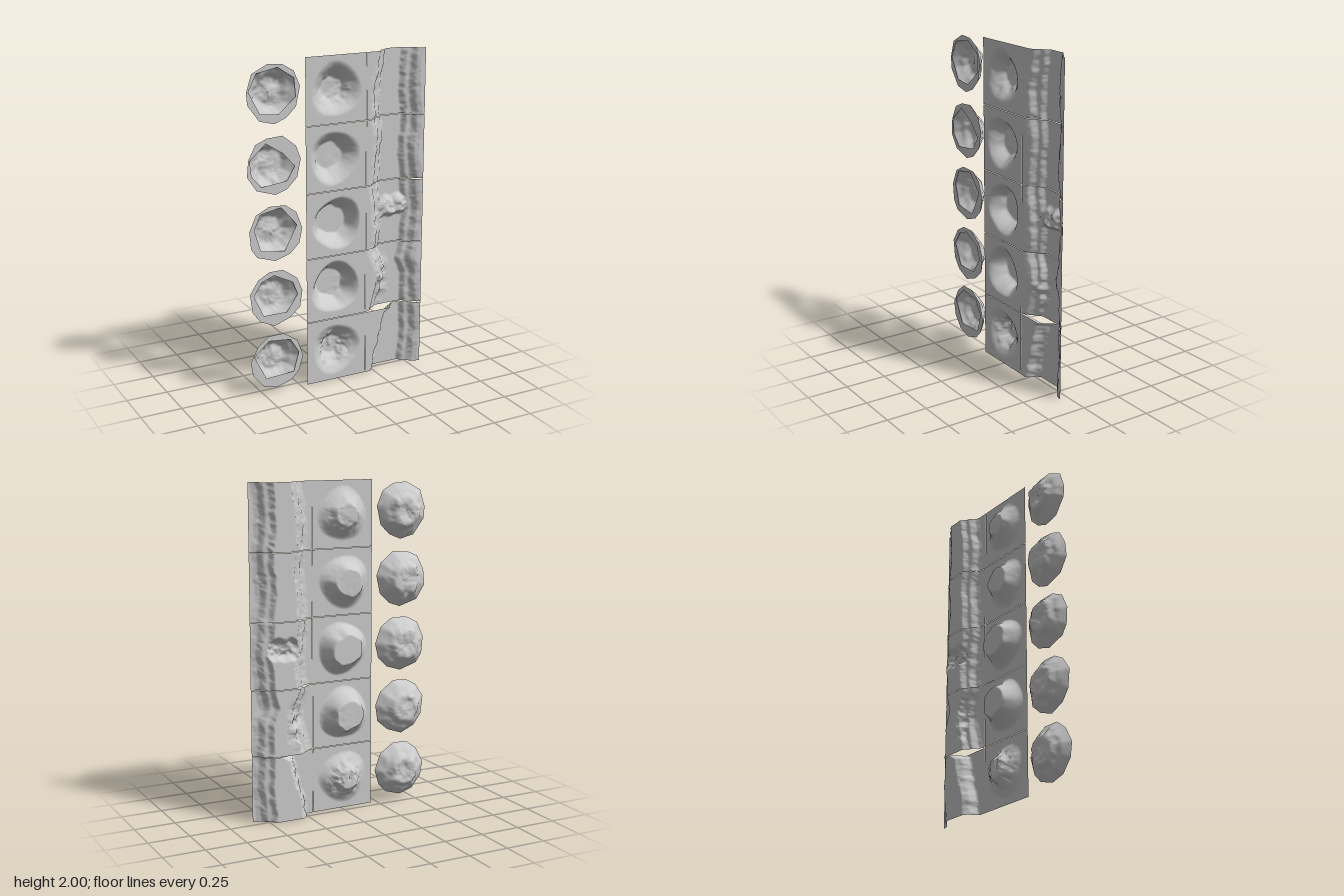
import * as THREE from 'three';

const material = new THREE.MeshStandardMaterial({ color: 0xcccccc, side: THREE.DoubleSide });
const { lerp, clamp, smoothstep } = THREE.MathUtils;
const FRONT = 0.05;

// Seeded value noise, about -1..1
function hash(i, j) {
  const s = Math.sin(i * 127.1 + j * 311.7) * 43758.5453;
  return s - Math.floor(s);
}
function noise(x, y) {
  const i = Math.floor(x), j = Math.floor(y);
  const u = smoothstep(x - i, 0, 1), v = smoothstep(y - j, 0, 1);
  return 2 * lerp(lerp(hash(i, j), hash(i + 1, j), u), lerp(hash(i, j + 1), hash(i + 1, j + 1), u), v) - 1;
}
function rough(x, y) {
  return noise(x * 22, y * 22) * 0.55 + noise(x * 47 + 9, y * 47) * 0.3 + noise(x * 95, y * 95 + 5) * 0.15;
}

// Piecewise linear lookup in [[input, output], ...] with ascending inputs
function sample(points, t) {
  for (let i = 1; i < points.length; i++) {
    const [a, va] = points[i - 1], [b, vb] = points[i];
    if (t <= b) return lerp(va, vb, clamp((t - a) / (b - a), 0, 1));
  }
  return points[points.length - 1][1];
}

function addMesh(group, geometry, name) {
  const mesh = new THREE.Mesh(geometry, material);
  mesh.name = name;
  group.add(mesh);
}

// Square sheet whose depth follows a rule
function sheet(cx, cy, depth) {
  const geometry = new THREE.PlaneGeometry(0.397, 0.397, 64, 64);
  geometry.translate(cx, cy, 0);
  const p = geometry.attributes.position;
  for (let i = 0; i < p.count; i++) p.setZ(i, depth(p.getX(i), p.getY(i)));
  geometry.computeVertexNormals();
  return geometry;
}

// Square pits: centre, floor centre, floor radius, floor depth, rubble height
const pits = [
  { x: -0.01, y: 0.2, r: 0.06, z: -0.035, rubble: 0.03 },
  { x: -0.015, y: 0.6, r: 0.085, z: -0.05, rubble: 0.004 },
  { x: -0.005, y: 1.0, r: 0.09, z: -0.04, rubble: 0 },
  { x: -0.02, y: 1.4, r: 0.08, z: -0.03, rubble: 0.003 },
  { x: -0.01, y: 1.8, r: 0.065, z: -0.03, rubble: 0.014 },
];
function pitDepth(pit) {
  return (x, y) => {
    const dx = x - pit.x, dy = y - pit.y;
    const r = Math.hypot(dx, dy), a = Math.atan2(dy, dx);
    const floor = pit.r * (1 + 0.13 * noise(Math.cos(a) * 2 + pit.y * 9, Math.sin(a) * 2));
    const rim = 0.16 + 0.008 * Math.sin(3 * a + pit.y * 5);
    const t = clamp((rim - r) / (rim - floor), 0, 1);
    const wall = lerp(FRONT, pit.z, Math.pow(t, 1.45));
    // Loose rubble, strongest towards one side of the floor
    const side = 0.55 + 0.45 * clamp((dx - dy) / 0.08, -1, 1);
    const loose = rough(x, y + pit.y);
    const lump = pit.rubble * Math.max(0, loose + 0.35) * (pit.rubble > 0.02 ? 1 : side) * smoothstep(t, 0.3, 0.9);
    return wall + lump + 0.004 * loose * t * (1 - t) * 4;
  };
}

// Trench walls: floor edges by height on the left and right of the sheet
const wallSteps = [[0, -0.03], [0.022, -0.002], [0.05, 0.006], [0.075, 0.038], [0.105, FRONT]];
const steepSteps = [[0, -0.03], [0.03, 0.0], [0.05, 0.043], [0.065, FRONT]];
const trenches = [
  { y: 0.2, low: [[0, 0.29], [0.1, 0.3], [0.2, 0.34], [0.3, 0.36], [0.37, 0.38], [0.4, 0.43]],
    high: [[0, 0.46], [0.2, 0.48], [0.4, 0.47]], steep: true },
  { y: 0.6, low: [[0.4, 0.3], [0.5, 0.33], [0.65, 0.36], [0.8, 0.31]],
    high: [[0.4, 0.48], [0.6, 0.47], [0.7, 0.44], [0.8, 0.46]], rubble: [0.335, 0.58, 0.05, 0.13] },
  { y: 1.0, low: [[0.8, 0.33], [0.93, 0.34], [1.05, 0.33], [1.2, 0.31]],
    high: [[0.8, 0.46], [1, 0.48], [1.2, 0.46]], bridge: true },
  { y: 1.4, low: [[1.2, 0.32], [1.35, 0.33], [1.5, 0.35], [1.6, 0.33]],
    high: [[1.2, 0.48], [1.35, 0.45], [1.6, 0.47]] },
  { y: 1.8, low: [[1.6, 0.33], [1.75, 0.32], [1.88, 0.34], [2, 0.36]],
    high: [[1.6, 0.47], [1.8, 0.45], [2, 0.47]] },
];
function trenchDepth(tr) {
  return (x, y) => {
    const bump = rough(x, y);
    const left = sample(tr.low, y) - x, right = x - sample(tr.high, y);
    const d = Math.max(left, right) + 0.012 * bump;
    let z = sample(tr.steep && left > right ? steepSteps : wallSteps, d);
    // Debris heap against the left wall
    if (tr.rubble) {
      const [rx, ry, w, h] = tr.rubble;
      const near = clamp(1.4 - Math.hypot((x - rx) / w, (y - ry) / h), 0, 1);
      z += near * (0.025 * bump + 0.008);
    }
    // Collapsed bank bridging the trench
    if (tr.bridge) {
      const middle = 1.035 - 0.5 * Math.max(0, 0.36 - x) + 0.012 * noise(x * 25, 4);
      const near = 1 - smoothstep(Math.abs(y - middle), 0.03, 0.075);
      z = Math.max(z, lerp(-0.03, 0.004 + 0.022 * bump, near));
    }
    return clamp(z, -0.03, FRONT);
  };
}

// Loose round craters: centre height and opening corners relative to the centre
const craters = [
  { y: 0.2, hole: [[-0.145, 0.05], [-0.05, 0.135], [0.09, 0.12], [0.145, 0.03], [0.11, -0.09], [-0.07, -0.1]] },
  { y: 0.6, hole: [[-0.14, 0.03], [-0.09, 0.11], [-0.01, 0.14], [0.11, 0.08], [0.14, 0], [0.07, -0.1], [-0.08, -0.1]] },
  { y: 1.0, hole: [[-0.13, 0.03], [-0.09, 0.12], [0.04, 0.145], [0.14, 0.03], [0.06, -0.12], [-0.09, -0.1]] },
  { y: 1.4, hole: [[-0.15, 0.04], [-0.05, 0.13], [0.06, 0.06], [0.13, -0.02], [0.08, -0.1], [-0.08, -0.12], [-0.14, -0.05]] },
  { y: 1.81, hole: [[-0.15, 0.02], [-0.1, 0.12], [0.03, 0.145], [0.13, 0.08], [0.14, -0.03], [0.03, -0.12], [-0.08, -0.11]] },
];
const CRATER_X = -0.41;
const bowlProfile = [[0, -0.022], [0.2, -0.026], [0.42, -0.03], [0.52, -0.024], [0.66, 0], [0.78, 0.014], [1, FRONT]];

function rimCorners(seed) {
  return Array.from({ length: 11 }, (_, k) => {
    const a = ((k + 0.35 * hash(k, seed)) / 11) * Math.PI * 2;
    const r = 0.163 + 0.014 * hash(seed, k);
    return new THREE.Vector2(Math.cos(a) * r, Math.sin(a) * r);
  });
}

// Bowl lofted from the faceted rim to its centre
function bowl(corners, cy) {
  const rings = 20, per = 6, around = corners.length * per, pos = [], index = [];
  for (let j = 0; j <= rings; j++) {
    const t = j / rings;
    for (let i = 0; i < around; i++) {
      const k = Math.floor(i / per);
      const e = corners[k].clone().lerp(corners[(k + 1) % corners.length], (i % per) / per);
      const x = CRATER_X + e.x * t, y = cy + e.y * t;
      const wobble = 0.05 * noise(x * 22, y * 22) * (1 - t) * 2;
      const crumble = 0.013 * rough(x + 3, y) * (1 - smoothstep(t, 0.6, 1));
      pos.push(x, y, Math.max(-0.032, sample(bowlProfile, clamp(t + wobble, 0, 1)) + crumble));
      if (j < rings) {
        const a = j * around + i, b = j * around + (i + 1) % around;
        index.push(a, a + around, b + around, a, b + around, b);
      }
    }
  }
  const geometry = new THREE.BufferGeometry();
  geometry.setAttribute('position', new THREE.Float32BufferAttribute(pos, 3));
  geometry.setIndex(index);
  geometry.computeVertexNormals();
  return geometry;
}

export function createModel() {
  const model = new THREE.Group();
  model.name = 'craterAndTrenchSet';

  pits.forEach((pit) => addMesh(model, sheet(-0.01, pit.y, pitDepth(pit)), 'pitTile'));
  trenches.forEach((tr) => addMesh(model, sheet(0.389, tr.y, trenchDepth(tr)), 'trenchTile'));

  craters.forEach((c, n) => {
    const group = new THREE.Group();
    group.name = 'roundCrater';
    const corners = rimCorners(n + 2);
    addMesh(group, bowl(corners, c.y), 'craterBowl');
    // Flat collar with an irregular opening
    const collar = new THREE.Shape(corners);
    collar.holes.push(new THREE.Path(c.hole.map(([x, y]) => new THREE.Vector2(x, y))));
    addMesh(group, new THREE.ShapeGeometry(collar).translate(CRATER_X, c.y, FRONT), 'craterCollar');
    model.add(group);
  });
  return model;
}
